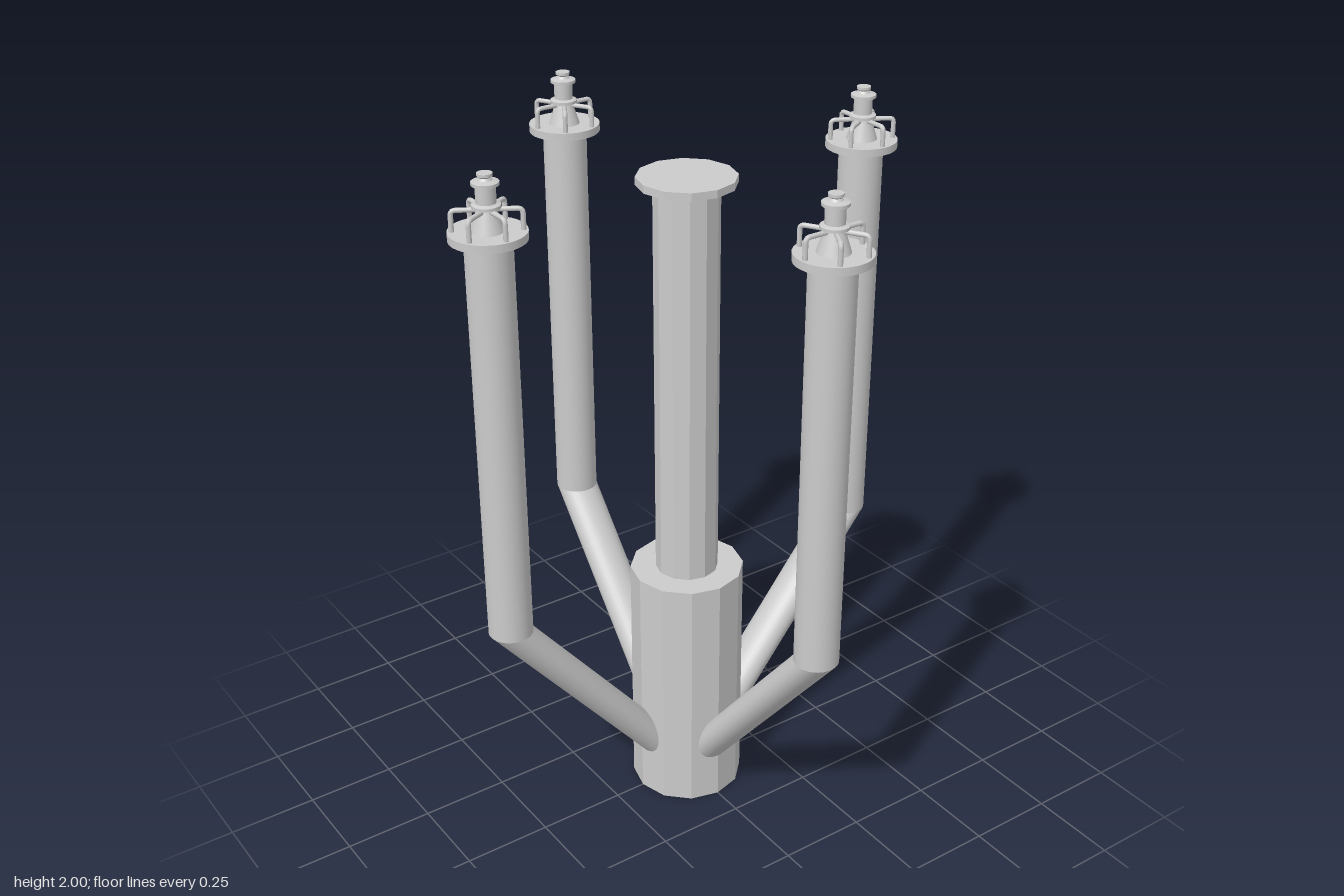
import * as THREE from 'three';

const grey = new THREE.MeshStandardMaterial({ color: 0xcccccc });
const greyFlat = new THREE.MeshStandardMaterial({ color: 0xcccccc, flatShading: true });

function add(parent, name, geometry, material = grey) {
  const mesh = new THREE.Mesh(geometry, material);
  mesh.name = name;
  parent.add(mesh);
  return mesh;
}

// Upright cylinder between two heights
function post(radius, y0, y1, sides, open = false) {
  return new THREE.CylinderGeometry(radius, radius, y1 - y0, sides, 1, open).translate(0, (y0 + y1) / 2, 0);
}

// Lathe with hard edges: one band per pair of profile points
function turned(parent, name, profile) {
  const group = new THREE.Group();
  group.name = name;
  for (let i = 0; i < profile.length - 1; i++) {
    const pair = [profile[i], profile[i + 1]].map(([r, y]) => new THREE.Vector2(r, y));
    add(group, name + 'Band', new THREE.LatheGeometry(pair, 24));
  }
  parent.add(group);
}

// Burner head: flange, turned nozzle and six bent brackets
function createHead() {
  const head = new THREE.Group();
  head.name = 'head';
  add(head, 'flange', post(0.097, -0.021, 0, 32));
  turned(head, 'nozzle', [
    [0.042, 0], [0.024, 0.055], [0.036, 0.058], [0.036, 0.066], [0.025, 0.07],
    [0.025, 0.112], [0.034, 0.114], [0.034, 0.122], [0.018, 0.126],
    [0.014, 0.132], [0.019, 0.136], [0.019, 0.143], [0, 0.143],
  ]);
  const v = (x, y) => new THREE.Vector3(x, y, 0);
  const path = new THREE.CurvePath();
  path.add(new THREE.LineCurve3(v(0.022, 0.053), v(0.073, 0.053)));
  path.add(new THREE.QuadraticBezierCurve3(v(0.073, 0.053), v(0.085, 0.053), v(0.085, 0.041)));
  path.add(new THREE.LineCurve3(v(0.085, 0.041), v(0.085, -0.005)));
  const bracket = new THREE.TubeGeometry(path, 20, 0.0065, 8);
  for (let i = 0; i < 6; i++) {
    add(head, 'bracket', bracket).rotation.y = Math.PI / 6 + (i * Math.PI) / 3;
  }
  return head;
}

// Arm: slanted lower pipe, mitred level with the upright pipe, topped by a head
function createArm() {
  const arm = new THREE.Group();
  arm.name = 'arm';
  const reach = 0.578, elbowY = 0.72, footX = 0.08, footY = 0.115, radius = 0.06;
  const slope = (reach - footX) / (elbowY - footY);
  const lower = new THREE.CylinderGeometry(radius, radius, elbowY - footY, 32)
    .applyMatrix4(new THREE.Matrix4().makeShear(0, 0, slope, 0, 0, 0))
    .translate((reach + footX) / 2, (elbowY + footY) / 2, 0);
  add(arm, 'slantedPipe', lower);
  add(arm, 'uprightPipe', post(radius, elbowY, 1.84, 32).translate(reach, 0, 0));
  const head = createHead();
  head.position.set(reach, 1.857, 0);
  arm.add(head);
  return arm;
}

export function createModel() {
  const model = new THREE.Group();
  model.name = 'branchedStand';

  // Twelve-sided centre
  add(model, 'base', post(0.16, 0, 0.72, 12), greyFlat);
  add(model, 'column', post(0.088, 0.72, 1.855, 12), greyFlat);
  add(model, 'columnCap', post(0.132, 1.852, 1.873, 12), greyFlat);

  // Four arms, turned very slightly off the axes
  for (let i = 0; i < 4; i++) {
    const arm = createArm();
    arm.rotation.y = 0.01 + (i * Math.PI) / 2;
    model.add(arm);
  }
  return model;
}
